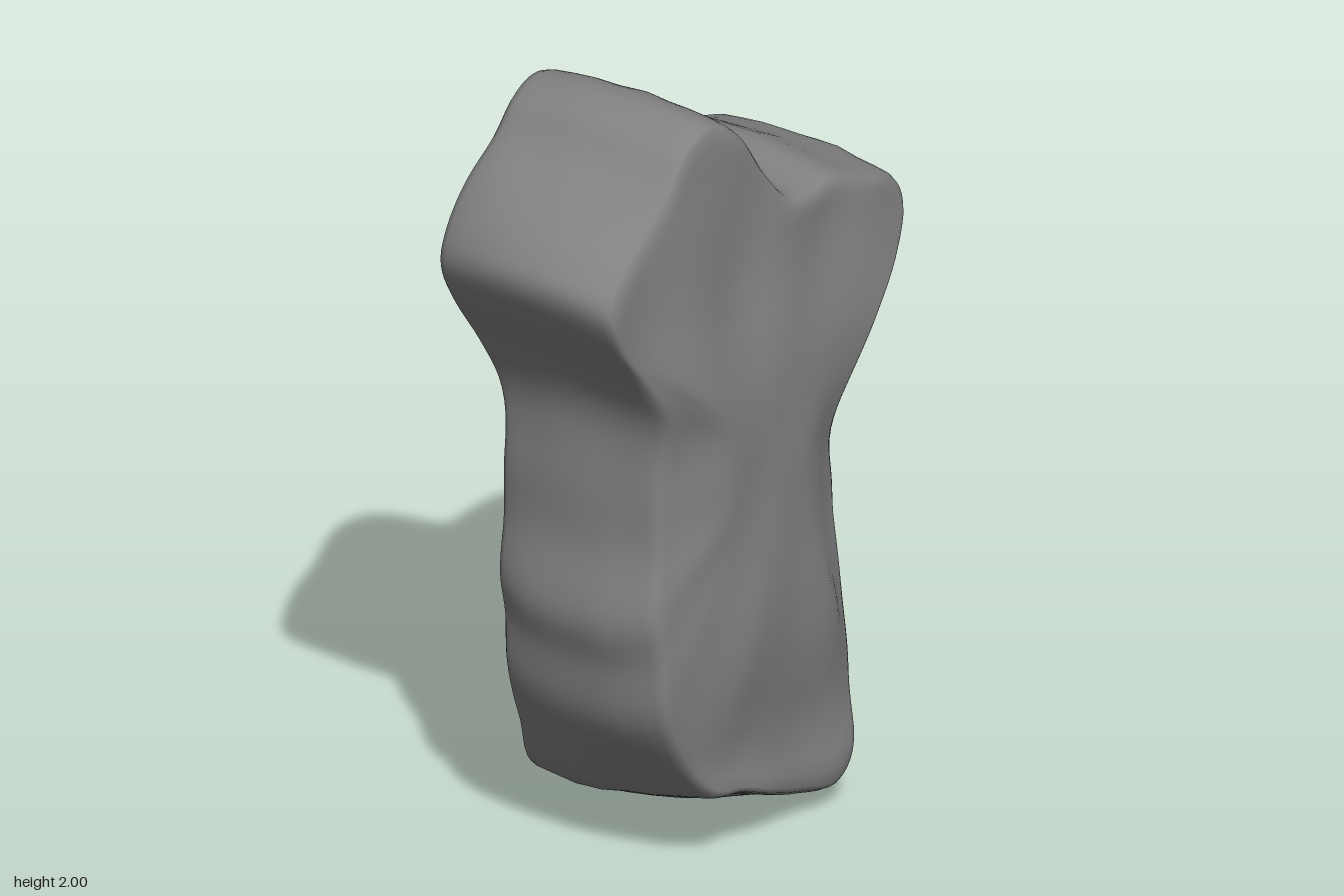
import * as THREE from 'three';

// Outline of the slab, counter-clockwise: x, y, optional shift dx, dy at the front,
// and optional rounding of the wall towards both faces
const OUTLINE = [
  [0.32, 1.0], [0.37, 1.15], [0.46, 1.31], [0.57, 1.43], [0.605, 1.51], [0.56, 1.595, 0, -0.01],
  [0.43, 1.65, 0, -0.01], [0.31, 1.71, 0, -0.02], [0.2, 1.715, 0, -0.02], [0.11, 1.72], [0.03, 1.81],
  [-0.05, 1.925], [-0.12, 1.985], [-0.2, 2.007], [-0.29, 1.98, 0, -0.01], [-0.37, 1.91, 0.01, -0.01],
  [-0.48, 1.84, 0.02, -0.02, 0.01], [-0.57, 1.75, 0.01, -0.01, 0.02], [-0.605, 1.665, 0, 0, 0.025],
  [-0.555, 1.55, 0, 0, 0.01], [-0.46, 1.4, 0.01, 0], [-0.4, 1.25, 0.02, 0], [-0.4, 1.05, 0.02, 0],
  [-0.4, 0.9, 0.01, 0, 0.01], [-0.43, 0.73, 0, 0, 0.035], [-0.4, 0.6, 0, 0, 0.03],
  [-0.375, 0.45, 0, 0, 0.02], [-0.295, 0.29, 0.01, 0.02, 0.01], [-0.2, 0.145, 0.03, 0.05],
  [-0.09, 0.125, 0.03, 0.04], [0, 0.035, 0.06, 0.08], [0.15, 0.005, 0.03, 0.05, 0.02],
  [0.32, 0.005, 0, 0.01, 0.035], [0.38, 0.1, 0, 0, 0.035], [0.395, 0.28, 0, 0, 0.025],
  [0.365, 0.5, 0, 0, 0.015], [0.355, 0.7, 0, 0, 0.015], [0.36, 0.83, 0, 0, 0.025],
];
const CENTRE = new THREE.Vector2(0, 1.1);
const SEGMENTS = 190;
const { smoothstep, lerp } = THREE.MathUtils;

// Thickness of each face by height: y, z
const FRONT_Z = [[0, 0.25], [0.2, 0.29], [0.5, 0.303], [0.9, 0.29], [1.25, 0.295], [1.6, 0.26], [2, 0.25]];
const BACK_Z = [[0, 0.28], [0.25, 0.32], [0.5, 0.295], [0.9, 0.295], [1.2, 0.285], [1.5, 0.278], [2, 0.28]];

function lookUp(table, y) {
  for (let i = 1; i < table.length; i++) {
    const [y0, z0] = table[i - 1], [y1, z1] = table[i];
    if (y <= y1) return lerp(z0, z1, smoothstep(y, y0, y1));
  }
  return table[table.length - 1][1];
}

// Soft unevenness, drawn out along the height
function relief(x, y, z) {
  return Math.sin(13 * x + 1.5 * y + 3 * z) * Math.sin(4 * y - 3 * x + 1)
    + 0.6 * Math.sin(19 * x - 3 * y + 5 * z) * Math.cos(7 * y + 2);
}

// Rings from the front middle over the edge to the back: [scale, inset, depth -1..1]
function makeStations() {
  const half = [];
  for (const s of [0.12, 0.25, 0.38, 0.5, 0.62, 0.73, 0.83, 0.91]) half.push([s, 0.03, 1]);
  half.push([0.96, 0.036, 1], [1, 0.04, 0.985], [1, 0.026, 0.95], [1, 0.018, 0.88],
    [1, 0.012, 0.72], [1, 0.006, 0.5], [1, 0.002, 0.25]);
  const back = half.slice().reverse().map(([s, inset, d]) => [s, inset, -d]);
  return [...half, [1, 0, 0], ...back];
}

// Depth of a point: domed faces along the shaft, flatter ones at the lobes
function faceZ(x, y, depth, scale) {
  const top = lerp(1.1, 0.75, smoothstep(x, -0.2, 0.2));
  const shaft = smoothstep(y, 0.02, 0.35) * (1 - smoothstep(y, top, top + 0.5));
  const dome = 0.06 * shaft * smoothstep(scale, 0.45, 1);
  const taper = depth > 0 ? 0.015 * smoothstep(Math.abs(x), 0.3, 0.6) : 0;
  const bump = 0.008 * relief(x, y, depth) * Math.abs(depth) ** 4;
  return depth * (lookUp(depth > 0 ? FRONT_Z : BACK_Z, y) - dome - taper + bump);
}

function stoneGeometry() {
  // The rounding travels along the curve as its z value
  const loop = (front) => new THREE.CatmullRomCurve3(
    OUTLINE.map(([x, y, dx = 0, dy = 0, round = 0]) => new THREE.Vector3(x + front * dx, y + front * dy, round)),
    true, 'catmullrom', 0.5);
  const backLoop = loop(0), frontLoop = loop(1);
  const stations = makeStations();
  const positions = [], index = [];

  for (const [scale, inset, depth] of stations) {
    const mix = smoothstep(depth, -0.8, 1);
    for (let i = 0; i < SEGMENTS; i++) {
      const p = backLoop.getPoint(i / SEGMENTS).lerp(frontLoop.getPoint(i / SEGMENTS), mix);
      const ray = new THREE.Vector2(p.x, p.y).sub(CENTRE);
      const wear = 0.004 * relief(p.x, p.y, depth * 2) * (1 - depth * depth);
      const round = p.z * Math.abs(depth) ** 2.5;
      ray.setLength((ray.length() - inset - round + wear) * scale).add(CENTRE);
      positions.push(ray.x, ray.y, faceZ(ray.x, ray.y, depth, scale));
    }
  }
  // Skin between rings
  for (let r = 0; r < stations.length - 1; r++) {
    for (let i = 0; i < SEGMENTS; i++) {
      const a = r * SEGMENTS + i, b = r * SEGMENTS + (i + 1) % SEGMENTS;
      index.push(a, a + SEGMENTS, b, b, a + SEGMENTS, b + SEGMENTS);
    }
  }
  // Close the middle of both faces
  const frontMid = positions.length / 3, backMid = frontMid + 1;
  const last = (stations.length - 1) * SEGMENTS;
  for (const depth of [1, -1]) positions.push(CENTRE.x, CENTRE.y, faceZ(CENTRE.x, CENTRE.y, depth, 0));
  for (let i = 0; i < SEGMENTS; i++) {
    const j = (i + 1) % SEGMENTS;
    index.push(frontMid, i, j, backMid, last + j, last + i);
  }

  const geometry = new THREE.BufferGeometry();
  geometry.setAttribute('position', new THREE.Float32BufferAttribute(positions, 3));
  geometry.setIndex(index);
  geometry.computeVertexNormals();
  return geometry;
}

export function createModel() {
  const model = new THREE.Group();
  model.name = 'stoneSlab';
  const stone = new THREE.Mesh(stoneGeometry(), new THREE.MeshStandardMaterial({ color: 0x828282 }));
  stone.name = 'stone';
  // Settle on the ground
  stone.geometry.computeBoundingBox();
  stone.position.y = -stone.geometry.boundingBox.min.y;
  model.add(stone);
  return model;
}
